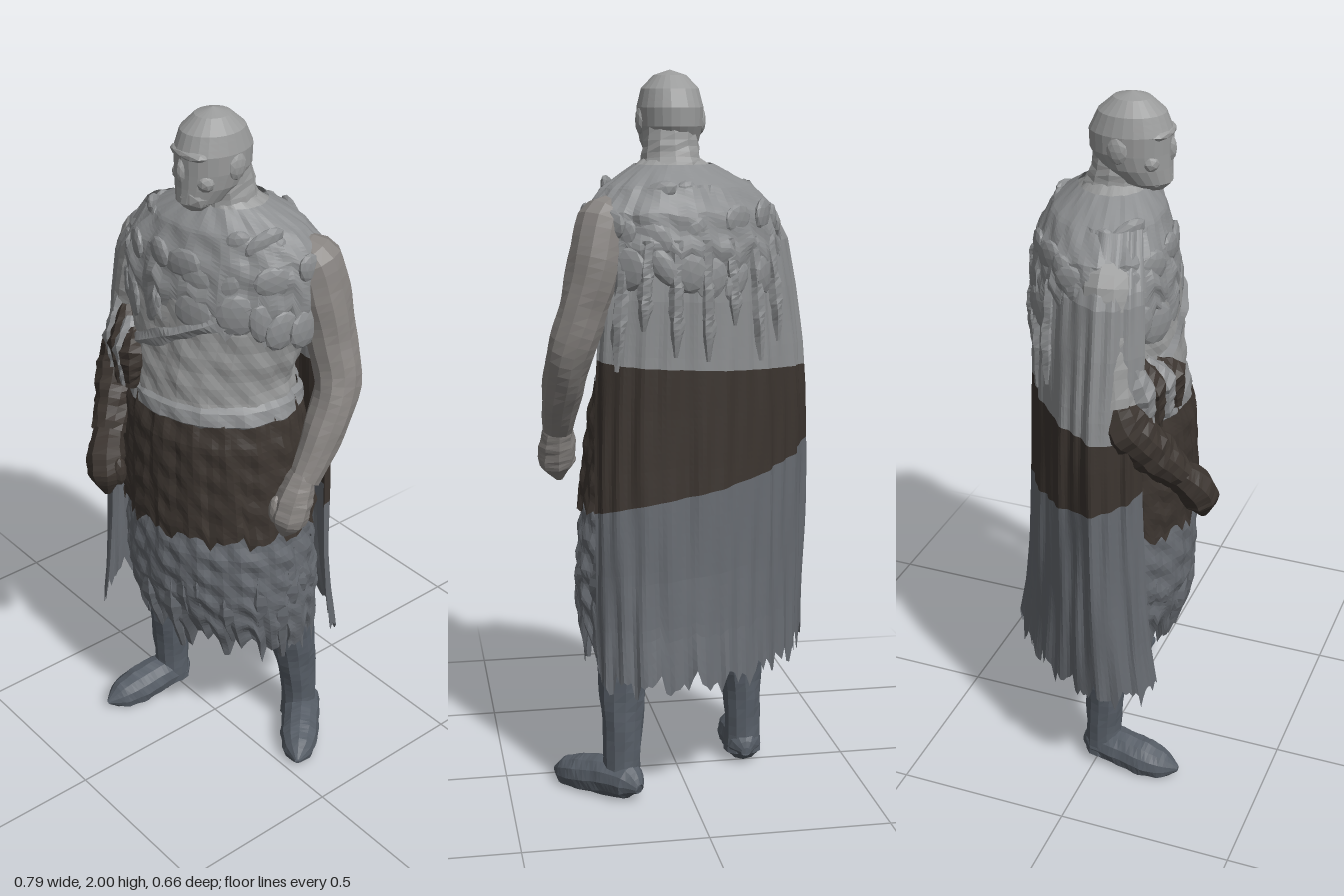
import * as THREE from 'three';
import { ParametricGeometry } from 'three/addons/geometries/ParametricGeometry.js';

const mat = (color) => new THREE.MeshStandardMaterial({ color, flatShading: true, side: THREE.DoubleSide });
const skin = mat(0x9a9b9b), fur = mat(0x8b8d8f), arm = mat(0x86827f), dark = mat(0x3b342f), cloth = mat(0x666a70), boot = mat(0x565d66);
const YAW = 0.35; // the body is turned towards its left
const lerp = THREE.MathUtils.lerp;

// Linear interpolation through a list of rows, t in 0..1
function sample(rows, t) {
  const f = Math.min(t, 0.99999) * (rows.length - 1), i = Math.floor(f);
  return rows[i].map((a, k) => lerp(a, rows[i + 1][k], f - i));
}

// Point on a turned ellipse; angle 0 is the front
function ringPoint([, cx, cz, rx, rz], a, s = 1, yaw = YAW) {
  const u = rx * s * Math.sin(a), v = rz * s * Math.cos(a);
  return [cx + u * Math.cos(yaw) + v * Math.sin(yaw), cz - u * Math.sin(yaw) + v * Math.cos(yaw)];
}

// Rough folds and ragged hems from layered waves
const wave = (a, y, k) => 0.6 * Math.sin(k * a + 2 * Math.sin(5 * y)) + 0.4 * Math.sin((2 * k + 3) * a + 11 * y);
const lumps = (a, y) => Math.sin(7 * a + 31 * y) * Math.sin(5 * a - 43 * y) + 0.6 * Math.sin(16 * a + 70 * y);
const ragged = (a) => Math.sin(13 * a) * 0.4 + Math.sin(29 * a + 1) * 0.35 + Math.sin(47 * a) * 0.25;

export function createModel() {
  const model = new THREE.Group();
  function add(name, geometry, material) {
    const mesh = new THREE.Mesh(geometry, material);
    mesh.name = name;
    model.add(mesh);
    return mesh;
  }

  // Skin over elliptical rows [y, cx, cz, rx, rz], listed from top to bottom
  function loft(name, material, rows, { fold = 0, k = 11, lump = 0, hem = 0, yaw = YAW, slices = 64, stacks = 18 } = {}) {
    return add(name, new ParametricGeometry((u, v, p) => {
      const a = -u * Math.PI * 2, r = sample(rows, v);
      const y = r[0] + hem * ragged(a) * v ** 3;
      const [x, z] = ringPoint(r, a, 1 + fold * wave(a, r[0], k) + lump * lumps(a, r[0]), yaw);
      p.set(x, y, z);
    }, slices, stacks), material);
  }

  // Tapered tube through points [x, y, z, radius], kept above the ground
  function limb(name, material, pts, sides = 12, rough = 0.04) {
    const curve = new THREE.CatmullRomCurve3(pts.map((p) => new THREE.Vector3(p[0], p[1], p[2])));
    const n = pts.length * 4, g = new THREE.TubeGeometry(curve, n, 1, sides), pos = g.attributes.position;
    const v = new THREE.Vector3();
    for (let i = 0; i < pos.count; i++) {
      const u = Math.floor(i / (sides + 1)) / n, a = (i % (sides + 1)) / sides * Math.PI * 2;
      const c = curve.getPointAt(u), r = sample(pts, curve.getUtoTmapping(u))[3];
      v.fromBufferAttribute(pos, i).sub(c).multiplyScalar(r * (1 + rough * wave(a, u * 3, 3))).add(c);
      pos.setXYZ(i, v.x, Math.max(v.y, 0), v.z);
    }
    return add(name, g, material);
  }

  function blob(name, material, x, y, z, sx, sy, sz, ry = 0, rz = 0) {
    const m = add(name, new THREE.IcosahedronGeometry(1, 1), material);
    m.position.set(x, y, z);
    m.scale.set(sx, sy, sz);
    m.rotation.set(0, ry, rz);
    return m;
  }

  // Head, face and neck
  loft('head', skin, [
    [2.0, 0.015, 0.02, 0, 0], [1.985, 0.015, 0.02, 0.045, 0.05], [1.95, 0.015, 0.02, 0.078, 0.09],
    [1.9, 0.015, 0.018, 0.09, 0.112], [1.85, 0.015, 0.018, 0.088, 0.11], [1.81, 0.015, 0.03, 0.08, 0.098],
    [1.77, 0.015, 0.055, 0.06, 0.075], [1.735, 0.015, 0.06, 0, 0]], { yaw: 0.08, slices: 24, stacks: 21 });
  blob('brow', skin, 0.02, 1.9, 0.1, 0.068, 0.018, 0.032);
  blob('nose', skin, 0.02, 1.858, 0.118, 0.015, 0.038, 0.022);
  blob('beard', skin, 0.02, 1.785, 0.085, 0.055, 0.045, 0.045);
  for (const s of [-1, 1]) {
    blob('ear', skin, 0.015 + s * 0.083, 1.865, 0.01, 0.014, 0.038, 0.03);
    blob('cheek', skin, 0.018 + s * 0.045, 1.83, 0.085, 0.03, 0.028, 0.026);
  }
  limb('neck', skin, [[0.02, 1.86, -0.01, 0.07], [0.02, 1.76, -0.02, 0.082], [0.02, 1.66, -0.04, 0.12]]);

  // Torso
  loft('torso', skin, [
    [1.77, 0.02, -0.02, 0.07, 0.07], [1.73, 0.015, -0.03, 0.13, 0.1], [1.69, 0.01, -0.04, 0.21, 0.14],
    [1.62, 0, -0.04, 0.27, 0.17], [1.5, -0.005, -0.035, 0.275, 0.19], [1.36, -0.015, -0.025, 0.25, 0.192],
    [1.25, -0.025, -0.015, 0.23, 0.195], [1.12, -0.02, -0.015, 0.25, 0.2]], { fold: 0.015, k: 9, lump: 0.015, stacks: 36 });

  // Shaggy mantle over the shoulders, with flat drooping tufts
  loft('shoulderMantle', fur, [
    [1.75, 0.015, -0.03, 0.11, 0.095], [1.695, 0.005, -0.04, 0.215, 0.15], [1.63, -0.005, -0.045, 0.28, 0.18],
    [1.54, -0.01, -0.045, 0.295, 0.2], [1.45, -0.005, -0.04, 0.28, 0.198]], { fold: 0.015, k: 15, lump: 0.018, hem: 0.06, stacks: 30 });
  for (let row = 0; row < 3; row++) for (let i = 0; i < 18; i++) {
    const jitter = Math.sin(i * 7.3 + row * 4.1), a = (i + 0.5 * row + 0.4 * jitter) / 18 * Math.PI * 2;
    const r = [[0, 0.01, -0.04, 0.215, 0.14], [0, -0.005, -0.045, 0.278, 0.18], [0, -0.005, -0.045, 0.285, 0.194]][row];
    const [x, z] = ringPoint(r, a), size = 1 + 0.35 * Math.sin(i * 3.7 + row);
    blob('mantleTuft', fur, x, [1.66, 1.59, 1.47][row] + 0.025 * jitter, z, 0.045 * size, 0.03 + 0.015 * row, 0.015, a + YAW, 0.6 * jitter);
  }

  // Broad strap across the chest
  const strapPoints = [];
  for (let i = 0; i <= 8; i++) {
    const a = lerp(-1.0, 1.0, i / 8), [x, z] = ringPoint([0, -0.015, -0.03, 0.25, 0.184], a);
    strapPoints.push([x, lerp(1.3, 1.54, i / 8), z, 0.024]);
  }
  limb('chestStrap', fur, strapPoints, 6, 0.25);

  // Arms
  limb('leftArm', arm, [
    [0.18, 1.66, -0.12, 0.02], [0.215, 1.61, -0.145, 0.078], [0.242, 1.5, -0.165, 0.082], [0.278, 1.38, -0.172, 0.07],
    [0.315, 1.27, -0.165, 0.064], [0.332, 1.15, -0.105, 0.058], [0.34, 1.03, -0.03, 0.042]]);
  limb('leftHand', arm, [
    [0.338, 1.05, -0.03, 0.037], [0.338, 0.98, 0.0, 0.052], [0.338, 0.92, 0.02, 0.053], [0.33, 0.87, 0.03, 0.01]], 8);
  blob('leftThumb', arm, 0.315, 0.95, 0.045, 0.02, 0.045, 0.022);
  limb('rightUpperArm', skin, [
    [-0.18, 1.66, 0.04, 0.02], [-0.222, 1.58, 0.045, 0.08], [-0.25, 1.45, 0.05, 0.08], [-0.285, 1.26, 0.075, 0.07]]);
  limb('rightForearm', dark, [
    [-0.285, 1.3, 0.075, 0.05], [-0.28, 1.21, 0.1, 0.075], [-0.24, 1.12, 0.16, 0.066], [-0.19, 1.03, 0.23, 0.048]], 12, 0.1);
  limb('rightHand', dark, [
    [-0.2, 1.04, 0.22, 0.04], [-0.16, 0.98, 0.265, 0.055], [-0.14, 0.93, 0.28, 0.053], [-0.13, 0.875, 0.285, 0.01]], 8);
  blob('rightThumb', dark, -0.105, 0.95, 0.26, 0.02, 0.045, 0.022);

  // Gathered cloth between the right arm and the waist
  for (let i = 0; i < 4; i++)
    limb('sleeveFold', i % 2 ? dark : fur, [
      [-0.27 + 0.035 * i, 1.4 - 0.02 * i, 0.11 + 0.012 * i, 0.015], [-0.25 + 0.04 * i, 1.29, 0.14 + 0.013 * i, 0.046],
      [-0.24 + 0.04 * i, 1.15 + 0.015 * i, 0.16 + 0.013 * i, 0.015]], 8, 0.15);

  // Waist wrap, belt and ragged skirt
  loft('waistWrap', dark, [
    [1.2, -0.02, -0.015, 0.245, 0.2], [1.1, -0.01, -0.01, 0.262, 0.218], [0.95, -0.005, -0.01, 0.28, 0.224],
    [0.81, 0.005, -0.01, 0.288, 0.229]], { fold: 0.02, k: 17, lump: 0.012, hem: 0.035, slices: 90, stacks: 22 });
  loft('belt', fur, [
    [1.215, -0.02, -0.015, 0.235, 0.19], [1.2, -0.02, -0.015, 0.25, 0.206],
    [1.165, -0.018, -0.013, 0.256, 0.211], [1.15, -0.015, -0.012, 0.24, 0.2]], { fold: 0.015, lump: 0.015, stacks: 6 });
  loft('skirt', cloth, [
    [0.87, 0.005, -0.01, 0.262, 0.205], [0.74, 0.008, -0.01, 0.282, 0.222], [0.6, 0.01, -0.015, 0.29, 0.22],
    [0.5, 0.015, -0.025, 0.285, 0.208], [0.41, 0.02, -0.035, 0.265, 0.175]], { fold: 0.025, k: 13, lump: 0.018, hem: 0.07, slices: 96, stacks: 26 });
  for (let i = 0; i < 24; i++) {
    const a = (i + 0.4 * Math.sin(i * 5)) / 24 * Math.PI * 2, top = 0.72 + 0.08 * ragged(a * 3), len = 0.29 + 0.07 * Math.sin(i * 5);
    const [x, z] = ringPoint([0, 0.01, -0.02, 0.268, 0.202], a), [bx, bz] = ringPoint([0, 0.015, -0.03, 0.26, 0.178], a);
    limb('skirtTatter', cloth, [[x, top, z, 0.008], [x, top - len * 0.5, z, 0.03], [bx, top - len, bz, 0.008]], 6, 0.15);
  }

  // Cape wrapped around the right side and the back, in three bands
  const plan = new THREE.CatmullRomCurve3([
    [-0.27, 0.195], [-0.34, 0.155], [-0.382, 0.07], [-0.35, -0.02], [-0.29, -0.12], [-0.21, -0.2], [-0.11, -0.275],
    [0, -0.305], [0.12, -0.31], [0.21, -0.285], [0.26, -0.22]].map(([x, z]) => new THREE.Vector3(x, 0, z)));
  const capeScale = [[0.55], [0.84], [0.91], [0.96], [0.99], [1], [1], [1], [1], [1]]; // width, shoulders to hem
  const capeDepth = [[0.6], [0.76], [0.8], [0.8], [0.81], [0.83], [0.86], [0.89], [0.95], [1.05]]; // distance behind the back
  const capePoint = (u, y) => {
    const c = plan.getPoint(u), t = THREE.MathUtils.clamp((1.7 - y) / 1.35, 0, 1);
    const fold = 1 + 0.012 * Math.sin(u * 41) + 0.012 * Math.sin(u * 93 + 1) + 0.012 * wave(u * 9, y, 5);
    return [c.x * sample(capeScale, t)[0] * fold, -0.02 + (c.z + 0.02) * sample(capeDepth, t)[0] * fold];
  };
  function cape(name, material, top, bottom, hem = 0) {
    add(name, new ParametricGeometry((u, v, p) => {
      const y = lerp(top(u), bottom(u), v), [x, z] = capePoint(u, y);
      p.set(x, y + hem * ragged(u * 5) * v ** 4, z);
    }, 96, 16), material);
  }
  const bandTop = (u) => lerp(1.16, 1.24, u), bandBottom = (u) => lerp(1.0, 0.82, u);
  cape('capeUpper', fur, () => 1.7, bandTop);
  cape('capeMiddle', dark, bandTop, bandBottom);
  cape('capeLower', cloth, bandBottom, () => 0.36, 0.045);

  // Narrow strips hanging down the back
  for (let i = 0; i < 7; i++) {
    const u = 0.42 + i * 0.08, bottom = 1.27 + 0.06 * Math.sin(i * 4), strip = [];
    for (let j = 0; j <= 4; j++) {
      const y = lerp(1.56, bottom, j / 4), [x, z] = capePoint(u, y);
      strip.push([x, y, z, j === 4 ? 0.006 : 0.02]);
    }
    limb('backStrip', fur, strip, 6, 0.2);
  }

  // Legs and boots
  limb('rightLeg', boot, [
    [-0.13, 0.68, 0.0, 0.11], [-0.165, 0.5, 0.015, 0.1], [-0.19, 0.36, 0.02, 0.07], [-0.198, 0.24, 0.02, 0.058],
    [-0.2, 0.12, 0.015, 0.052], [-0.2, 0.03, 0.015, 0.055]]);
  limb('rightBoot', boot, [
    [-0.2, 0.04, -0.045, 0.015], [-0.2, 0.05, -0.015, 0.05], [-0.205, 0.05, 0.06, 0.057], [-0.212, 0.035, 0.15, 0.058],
    [-0.215, 0.028, 0.21, 0.045], [-0.215, 0.025, 0.255, 0.008]]);
  limb('leftLeg', boot, [
    [0.13, 0.68, -0.08, 0.11], [0.155, 0.5, -0.115, 0.1], [0.178, 0.36, -0.15, 0.072], [0.184, 0.24, -0.168, 0.06],
    [0.188, 0.12, -0.18, 0.052], [0.19, 0.03, -0.18, 0.055]]);
  limb('leftBoot', boot, [
    [0.15, 0.04, -0.25, 0.015], [0.17, 0.05, -0.22, 0.05], [0.22, 0.05, -0.165, 0.057], [0.285, 0.036, -0.1, 0.058],
    [0.33, 0.028, -0.055, 0.045], [0.36, 0.025, -0.025, 0.008]]);
  return model;
}
